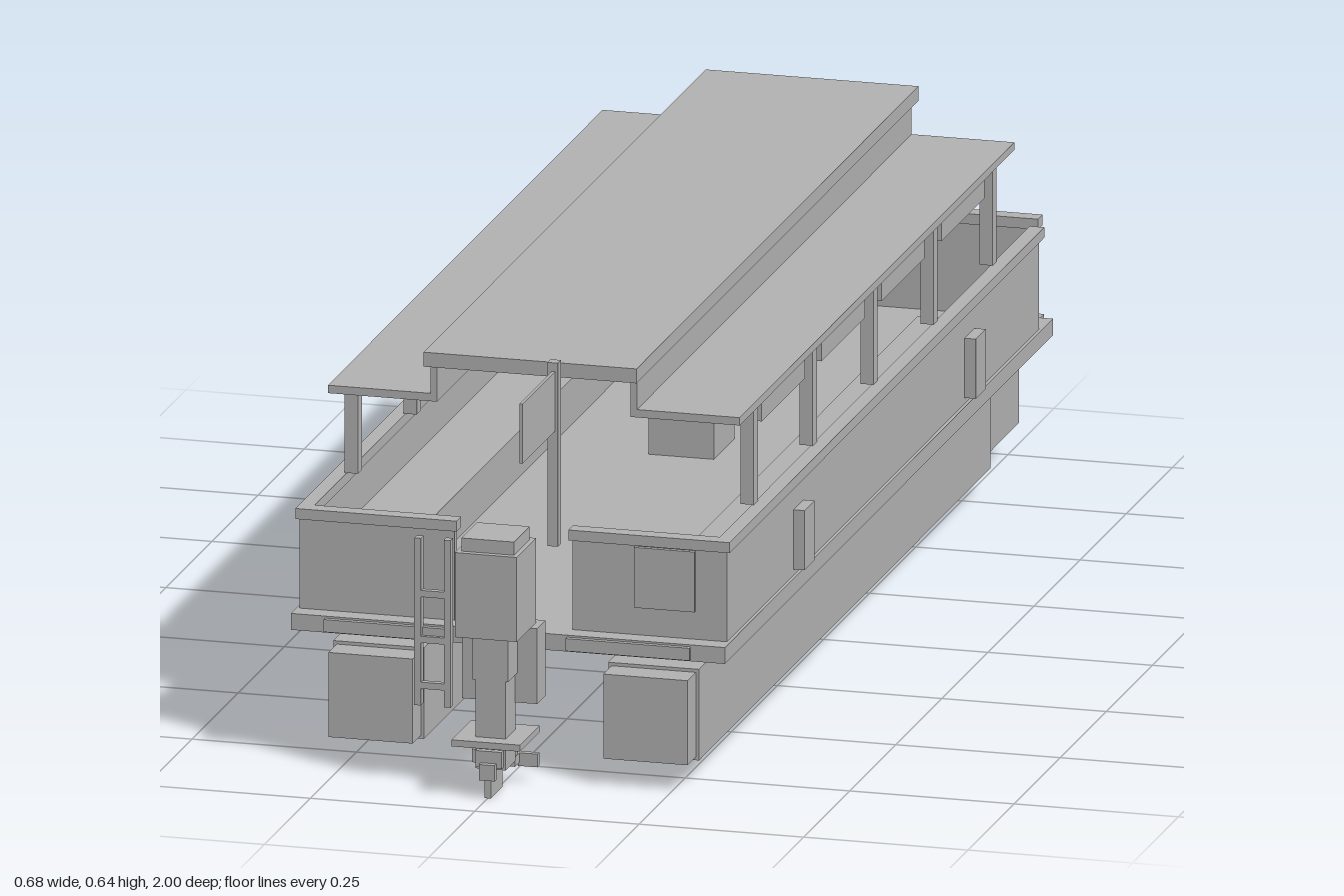
import * as THREE from 'three';

export function createModel() {
  const boat = new THREE.Group();
  boat.name = 'pontoonBoat';
  const grey = new THREE.MeshStandardMaterial({ color: 0xb3b3b3 });
  grey.name = 'plain grey';

  // Box given by its low and high limits on each axis
  const box = (name, x0, x1, y0, y1, z0, z1) => {
    const m = new THREE.Mesh(new THREE.BoxGeometry(x1 - x0, y1 - y0, z1 - z0), grey);
    m.position.set((x0 + x1) / 2, (y0 + y1) / 2, (z0 + z1) / 2);
    m.name = name;
    boat.add(m);
    return m;
  };
  // The same box on both sides
  const pair = (name, x0, x1, ...rest) => {
    box(name + 'Left', x0, x1, ...rest);
    box(name + 'Right', -x1, -x0, ...rest);
  };

  // Floats with inset end caps
  pair('pontoon', 0.14, 0.278, 0.036, 0.175, -0.805, 0.775);
  pair('pontoonFrontCap', 0.145, 0.273, 0.041, 0.17, 0.775, 0.82);
  pair('pontoonNose', 0.148, 0.27, 0.053, 0.165, -0.99, -0.805);

  // Cross beams and deck
  for (const z of [0.535, -0.018, -0.575]) box('crossBeam', -0.278, 0.278, 0.175, 0.21, z - 0.046, z + 0.046);
  box('deck', -0.33, 0.33, 0.2, 0.225, -0.96, 0.82);
  box('rearTrim', -0.31, 0.31, 0.2, 0.224, -0.983, -0.96);
  box('rearBumper', -0.29, 0.29, 0.203, 0.222, -1, -0.983);
  pair('frontTrim', 0.09, 0.278, 0.203, 0.222, 0.82, 0.828);

  // Fence panels with cap rails
  pair('sideFence', 0.313, 0.325, 0.225, 0.362, -0.9, 0.775);
  pair('sideRail', 0.308, 0.33, 0.362, 0.378, -0.912, 0.785);
  pair('frontFence', 0.09, 0.325, 0.225, 0.362, 0.775, 0.79);
  pair('frontRail', 0.085, 0.33, 0.362, 0.378, 0.77, 0.795);
  box('rearFence', -0.3, 0.3, 0.225, 0.362, -0.967, -0.955);
  box('rearRail', -0.31, 0.31, 0.362, 0.378, -0.975, -0.95);
  box('frontPlate', 0.185, 0.277, 0.268, 0.36, 0.79, 0.797);
  for (const z of [0.403, -0.525]) pair('fender', 0.325, 0.342, 0.234, 0.325, z - 0.027, z + 0.027);

  // Roof posts and rolled curtains
  for (const z of [0.585, 0.265, -0.065, -0.39, -0.71]) {
    pair('roofPost', 0.291, 0.311, 0.378, 0.524, z - 0.011, z + 0.011);
  }
  for (const z of [0.425, 0.1, -0.225, -0.55]) {
    pair('curtain', 0.294, 0.308, 0.49, 0.524, z - 0.117, z + 0.117);
  }

  // Two-step roof
  pair('lowerRoof', 0.147, 0.313, 0.523, 0.535, -0.81, 0.68);
  pair('roofWall', 0.147, 0.157, 0.523, 0.583, -0.81, 0.68);
  box('upperRoof', -0.162, 0.162, 0.581, 0.603, -0.83, 0.7);

  // Benches and helm
  pair('bench', 0.2, 0.313, 0.225, 0.295, -0.69, 0.54);
  box('console', -0.05, 0.05, 0.225, 0.385, -0.23, -0.12);
  pair('windscreenArm', 0.048, 0.063, 0.34, 0.43, -0.122, -0.114);
  box('windscreenBar', -0.046, 0.046, 0.432, 0.448, -0.122, -0.114);
  box('windscreenPost', -0.008, 0.008, 0.385, 0.432, -0.122, -0.114);

  // Rear light
  box('lightPost', -0.008, 0.008, 0.225, 0.5, -0.97, -0.953);
  box('lantern', -0.023, 0.023, 0.5, 0.546, -0.983, -0.94);

  // Flag
  box('flagPole', 0.061, 0.077, 0.36, 0.64, 0.807, 0.824);
  box('flag', 0.068, 0.073, 0.536, 0.627, 0.824, 1);

  // Ladder
  for (const x of [-0.133, -0.088]) box('ladderRail', x - 0.005, x + 0.005, 0.105, 0.36, 0.822, 0.836);
  for (const y of [0.135, 0.205, 0.275]) box('ladderRung', -0.128, -0.093, y - 0.005, y + 0.005, 0.824, 0.834);

  // Outboard motor
  box('motorBracket', -0.057, 0.057, 0.13, 0.245, 0.82, 0.865);
  box('motorMount', -0.027, 0.027, 0.175, 0.245, 0.855, 0.915);
  box('motorCowl', -0.047, 0.047, 0.245, 0.374, 0.835, 0.94);
  box('motorCowlTop', -0.04, 0.04, 0.374, 0.394, 0.845, 0.93);
  box('motorLeg', -0.023, 0.023, 0.04, 0.175, 0.86, 0.915);
  box('motorPlate', -0.052, 0.052, 0.078, 0.088, 0.835, 0.94);
  box('gearcase', -0.02, 0.02, 0.045, 0.07, 0.84, 0.925);
  box('propHub', -0.012, 0.012, 0.028, 0.052, 0.925, 0.935);
  pair('propBlade', 0.02, 0.05, 0.025, 0.045, 0.827, 0.837);
  box('propShaft', -0.022, 0.022, 0.03, 0.045, 0.828, 0.86);
  box('skeg', -0.005, 0.005, 0, 0.04, 0.868, 0.93);

  return boat;
}
